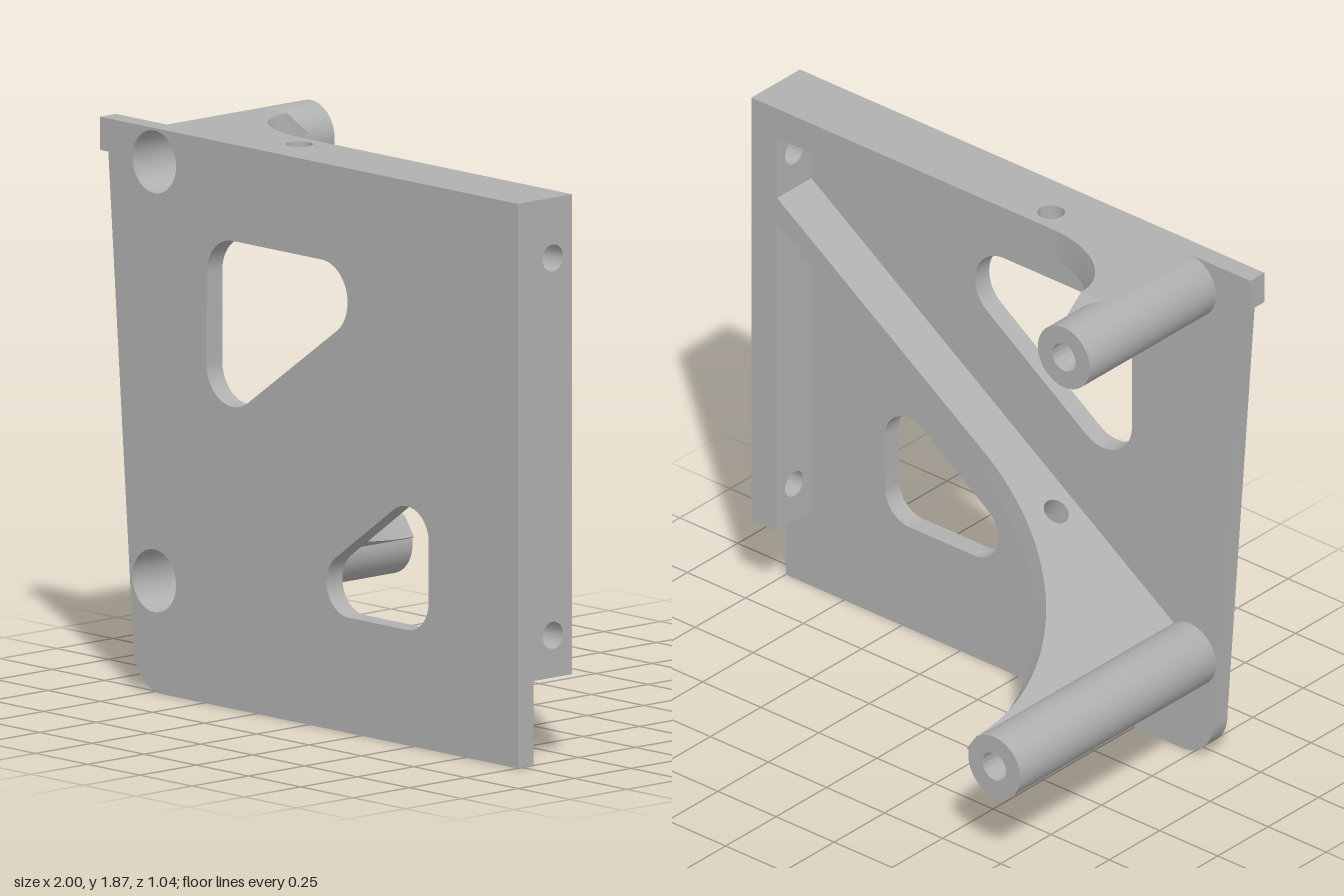
import * as THREE from 'three';
import { toCreasedNormals } from 'three/addons/utils/BufferGeometryUtils.js';

const TAU = Math.PI * 2;

function circle(x, y, r) {
  return new THREE.Path().absarc(x, y, r, 0, TAU, false);
}

// Outline around equal circles whose centres run counter-clockwise
function roundedCutout(centres, r) {
  const path = new THREE.Path();
  const n = centres.length;
  const normal = (a, b) => Math.atan2(b[1] - a[1], b[0] - a[0]) - Math.PI / 2;
  centres.forEach((c, i) => {
    const start = normal(centres[(i + n - 1) % n], c);
    const end = normal(c, centres[(i + 1) % n]);
    path.absarc(c[0], c[1], r, start, end, false);
  });
  return path.closePath();
}

function extrude(shape, depth, steps = 1) {
  return new THREE.ExtrudeGeometry(shape, { depth, steps, bevelEnabled: false, curveSegments: 24 });
}

// Rib seen from above (x, z): straight bar that sweeps back into a post
function webShape(left, right, bend, post, back, holeX) {
  const s = new THREE.Shape();
  s.moveTo(left, 0.46);
  s.lineTo(right, 0.46);
  s.lineTo(right, 0.28);
  s.lineTo(bend, 0.28);
  s.absellipse(bend, back, bend - post, 0.28 - back, Math.PI / 2, Math.PI, false);
  s.lineTo(left, back);
  s.closePath();
  s.holes.push(circle(holeX, 0.36, 0.045));
  return s;
}

export function createModel() {
  const group = new THREE.Group();
  const grey = new THREE.MeshStandardMaterial({ color: 0xb0b0b0 });
  grey.name = 'grey';

  function add(name, geometry) {
    const mesh = new THREE.Mesh(toCreasedNormals(geometry, 0.5), grey);
    mesh.name = name;
    group.add(mesh);
    return mesh;
  }

  const posts = [
    { name: 'upperPost', x: -0.74, y: 1.758, back: -0.175 },
    { name: 'lowerPost', x: -0.74, y: 0.37, back: -0.52 },
  ];
  const boreRadius = 0.104, postRadius = 0.112;

  // Front plate with tapered left edge, small top lug and two cutouts
  const plate = new THREE.Shape();
  plate.moveTo(1, 0);
  plate.lineTo(1, 1.87);
  plate.lineTo(-1, 1.87);
  plate.lineTo(-1, 1.76);
  plate.lineTo(-0.96, 1.76);
  plate.lineTo(-0.84, 0.14);
  plate.absarc(-0.7, 0.14, 0.14, Math.PI, Math.PI * 1.5, false);
  plate.closePath();
  plate.holes.push(
    roundedCutout([[-0.365, 1.125], [0.06, 1.425], [-0.365, 1.425]], 0.125),
    roundedCutout([[0.19, 0.487], [0.468, 0.487], [0.468, 0.687]], 0.105),
    ...posts.map((p) => circle(p.x, p.y, boreRadius))
  );
  add('frontPlate', extrude(plate, 0.07)).position.z = 0.45;

  // Hollow posts with a wide front bore and a narrow rear hole
  for (const p of posts) {
    const floor = p.back + 0.12;
    const profile = [
      [0.05, p.back], [postRadius, p.back], [postRadius, 0.5], [boreRadius, 0.52],
      [boreRadius, floor], [0.05, floor], [0.05, p.back],
    ].map(([r, h]) => new THREE.Vector2(r, h));
    const geometry = new THREE.LatheGeometry(profile, 48).rotateX(Math.PI / 2);
    add(p.name, geometry).position.set(p.x, p.y, 0);
  }

  // Side wall with two screw holes
  const wall = new THREE.Shape();
  wall.moveTo(0.28, 0.28);
  wall.lineTo(0.45, 0.28);
  wall.lineTo(0.45, 1.87);
  wall.lineTo(0.28, 1.87);
  wall.closePath();
  wall.holes.push(circle(0.365, 0.42, 0.045), circle(0.365, 1.67, 0.045));
  add('sideWall', extrude(wall, 0.11).rotateY(-Math.PI / 2)).position.x = 1;

  // Top flange: left end follows the post, swept curve leans back toward its base
  const flangeHeight = 0.11;
  const flange = extrude(webShape(-0.74, 0.89, -0.29, -0.632, -0.1, -0.22), flangeHeight, 6);
  flange.rotateX(Math.PI / 2);
  const pos = flange.attributes.position;
  for (let i = 0; i < pos.count; i++) {
    const up = 1 + pos.getY(i) / flangeHeight;
    const z = pos.getZ(i);
    if (z < 0.279) pos.setZ(i, 0.28 + (z - 0.28) * (1 - 0.35 * up));
    if (pos.getX(i) < -0.72) {
      const dy = up * flangeHeight;
      pos.setX(i, -0.74 + Math.sqrt(Math.max(0, 0.11 ** 2 - dy ** 2)));
    }
  }
  add('topFlange', flange).position.y = 1.87;

  // Diagonal rib from the lower post to the side wall
  const rib = extrude(webShape(-0.817, 1.13, 0, -0.81, -0.52, -0.295), 0.08);
  const ribMesh = add('diagonalRib', rib.rotateX(Math.PI / 2));
  ribMesh.position.set(0, 0.92, 0);
  ribMesh.rotation.z = Math.atan(0.69);

  return group;
}
